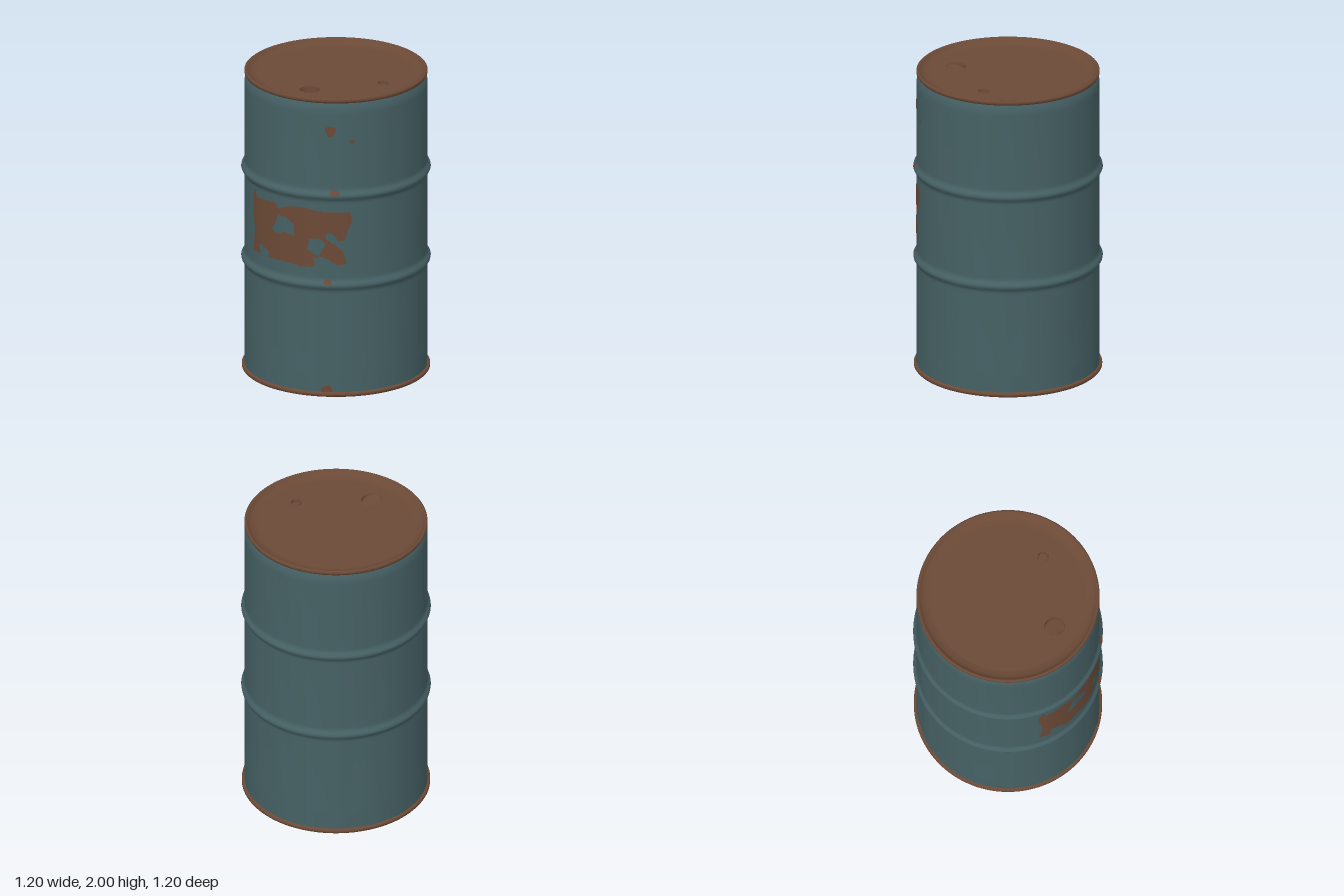
import * as THREE from 'three';
import { toCreasedNormals } from 'three/addons/utils/BufferGeometryUtils.js';

const SEGMENTS = 144;
const LID_Y = 1.966;

// Radius of the steel wall: straight, with two rolled ribs and a tucked-in neck
function wallRadius(y) {
  let r = 0.58;
  for (const rib of [0.745, 1.348]) {
    const t = Math.abs(y - rib) / 0.042;
    if (t < 1) r += 0.02 * (0.5 + 0.5 * Math.cos(Math.PI * t));
  }
  if (y > 1.9) r -= 0.014 * ((y - 1.9) / 0.07) ** 2;
  return r;
}

// Shallow vertical dents, deeper low down and toward the back
function dent(angle, y) {
  if (y > 1.9) return 0;
  const wave = Math.sin(angle * 11 + 1.3) * Math.sin(angle * 5 + y) + 0.6 * Math.sin(angle * 19 + y * 2);
  const bay = Math.abs(Math.sin((y - 0.142) * Math.PI / 0.603));
  const depth = 0.0015 + 0.0025 * (0.5 - 0.5 * Math.cos(angle));
  return -depth * (y < 0.7 ? 1.4 : 0.8) * Math.max(0, wave) * bay;
}

function surfacePoint(x, y, lift) {
  const angle = Math.asin(x / 0.58);
  const r = wallRadius(y) + dent(angle, y) + lift;
  return [r * Math.sin(angle), y, r * Math.cos(angle)];
}

function latheGeometry(points) {
  return new THREE.LatheGeometry(points.map(p => new THREE.Vector2(...p)), SEGMENTS);
}

function creasedMesh(name, geometry, material, crease = 0.8) {
  const mesh = new THREE.Mesh(toCreasedNormals(geometry, crease), material);
  mesh.name = name;
  return mesh;
}

// Even-odd test of a point against several closed loops
function inside(loops, x, y) {
  let hit = false;
  for (const loop of loops) {
    for (let i = 0, j = loop.length - 1; i < loop.length; j = i++) {
      const [ax, ay] = loop[i], [bx, by] = loop[j];
      if ((ay > y) !== (by > y) && x < (bx - ax) * (y - ay) / (by - ay) + ax) hit = !hit;
    }
  }
  return hit;
}

// Thin rust skin that follows the wall, made of the small cells inside the loops
function rustSkin(name, loops, cell, material) {
  const xs = loops[0].map(p => p[0]), ys = loops[0].map(p => p[1]);
  const positions = [];
  for (let x = Math.min(...xs); x < Math.max(...xs); x += cell) {
    for (let y = Math.min(...ys); y < Math.max(...ys); y += cell) {
      if (!inside(loops, x + cell / 2, y + cell / 2)) continue;
      const a = surfacePoint(x, y, 0.002), b = surfacePoint(x + cell, y, 0.002);
      const c = surfacePoint(x + cell, y + cell, 0.002), d = surfacePoint(x, y + cell, 0.002);
      positions.push(...a, ...b, ...c, ...a, ...c, ...d);
    }
  }
  const geometry = new THREE.BufferGeometry();
  geometry.setAttribute('position', new THREE.Float32BufferAttribute(positions, 3));
  return creasedMesh(name, geometry, material);
}

export function createModel() {
  const drum = new THREE.Group();
  drum.name = 'drum';
  const paint = new THREE.MeshStandardMaterial({ color: 0x466165 });
  paint.name = 'faded teal paint';
  const rust = new THREE.MeshStandardMaterial({ color: 0x6b4936 });
  rust.name = 'rust';

  // Painted wall
  const wallPoints = [];
  for (let i = 0; i <= 150; i++) {
    const y = 0.02 + i * 0.013;
    wallPoints.push([wallRadius(y), y]);
  }
  const wallGeometry = latheGeometry(wallPoints);
  const pos = wallGeometry.attributes.position;
  for (let i = 0; i < pos.count; i++) {
    const x = pos.getX(i), y = pos.getY(i), z = pos.getZ(i);
    const k = 1 + dent(Math.atan2(x, z), y) / Math.hypot(x, z);
    pos.setXYZ(i, x * k, y, z * k);
  }
  drum.add(creasedMesh('wall', wallGeometry, paint));

  // Top rim, running smoothly into the dished edge of the lid
  drum.add(creasedMesh('topRim', latheGeometry([
    [0.562, 1.964], [0.574, 1.97], [0.58, 1.982], [0.579, 1.994], [0.572, 2], [0.565, 1.999],
    [0.559, 1.993], [0.553, 1.985], [0.54, 1.977], [0.52, 1.97], [0.495, LID_Y],
  ]), rust, 1.2));

  // Bottom rim and the dished base
  drum.add(creasedMesh('base', latheGeometry([
    [0, 0.03], [0.5, 0.03], [0.53, 0.027], [0.552, 0.02], [0.565, 0.008], [0.573, 0.002],
    [0.58, 0], [0.59, 0], [0.596, 0.007], [0.596, 0.02], [0.59, 0.027], [0.574, 0.03],
  ]), rust, 1.2));

  // Lid with two sunken bungs; the floor of the large one slopes up to the front
  const bungs = [
    { name: 'largeBung', x: 0, z: 0.355, r: 0.066, lip: 0.001, depth: 0.035, slope: 0.95 },
    { name: 'smallBung', x: 0.35, z: 0.028, r: 0.034, lip: 0.006, depth: 0.02, slope: 0 },
  ];
  const lidShape = new THREE.Shape().absarc(0, 0, 0.497, 0, Math.PI * 2);
  for (const b of bungs) {
    lidShape.holes.push(new THREE.Path().absarc(b.x, -b.z, b.r, 0, Math.PI * 2, true));
    const geometry = latheGeometry([
      [b.r + 0.004, -0.001], [b.r + 0.002, b.lip], [b.r - 0.002, b.lip],
      [b.r - 0.005, -b.depth], [0, -b.depth],
    ]);
    const p = geometry.attributes.position;
    for (let i = 0; i < p.count; i++) {
      if (p.getY(i) < -0.01) p.setY(i, -b.depth * (1 - b.slope * (0.5 + p.getZ(i) / (2 * b.r))));
    }
    const bung = creasedMesh(b.name, geometry, rust);
    bung.position.set(b.x, LID_Y, b.z);
    drum.add(bung);
  }
  const lid = new THREE.Mesh(new THREE.ShapeGeometry(lidShape, 72), rust);
  lid.name = 'lid';
  lid.rotation.x = -Math.PI / 2;
  lid.position.y = LID_Y;
  drum.add(lid);

  // Large worn patch on the front, in hundredths of a unit
  const patch = [
    [[-34, 125], [-32, 129], [-30, 124], [-17, 125], [-14, 126], [-11, 122], [-4, 125], [6, 126],
      [20, 124], [35, 124], [36, 118], [34, 113], [32, 105], [29, 104], [26, 109], [22, 110],
      [21, 106], [28, 101], [32, 96], [33, 89], [28, 88], [23, 92], [18, 94], [14, 92], [15, 87],
      [6, 86], [-2, 87], [-20, 87], [-18, 90], [-24, 94], [-28, 93], [-26, 87], [-34, 87],
      [-33, 94], [-32, 102], [-34, 113]],
    [[-11, 118], [-5, 117], [1, 113], [1, 106], [-6, 107], [-12, 105], [-16, 107], [-13, 112]],
    [[11, 105], [18, 106], [21, 102], [17, 94], [10, 98]],
  ].map(loop => loop.map(([x, y]) => [x / 100, y / 100]));
  drum.add(rustSkin('rustPatch', patch, 0.006, rust));

  // Small rust spots: x, y, half width, half height
  const spots = [
    [0.24, 1.785, 0.03, 0.036], [0.36, 1.71, 0.015, 0.012], [0.265, 1.37, 0.028, 0.018],
    [0.225, 0.77, 0.025, 0.016], [0.22, 0.045, 0.035, 0.025],
  ];
  spots.forEach(([x, y, w, h], n) => {
    const loop = [];
    for (let i = 0; i < 14; i++) {
      const a = i / 14 * Math.PI * 2, k = 1 + 0.12 * Math.sin(3 * a + n);
      loop.push([x + w * k * Math.cos(a), y + h * k * Math.sin(a)]);
    }
    drum.add(rustSkin('rustSpot' + (n + 1), [loop], 0.004, rust));
  });

  return drum;
}
